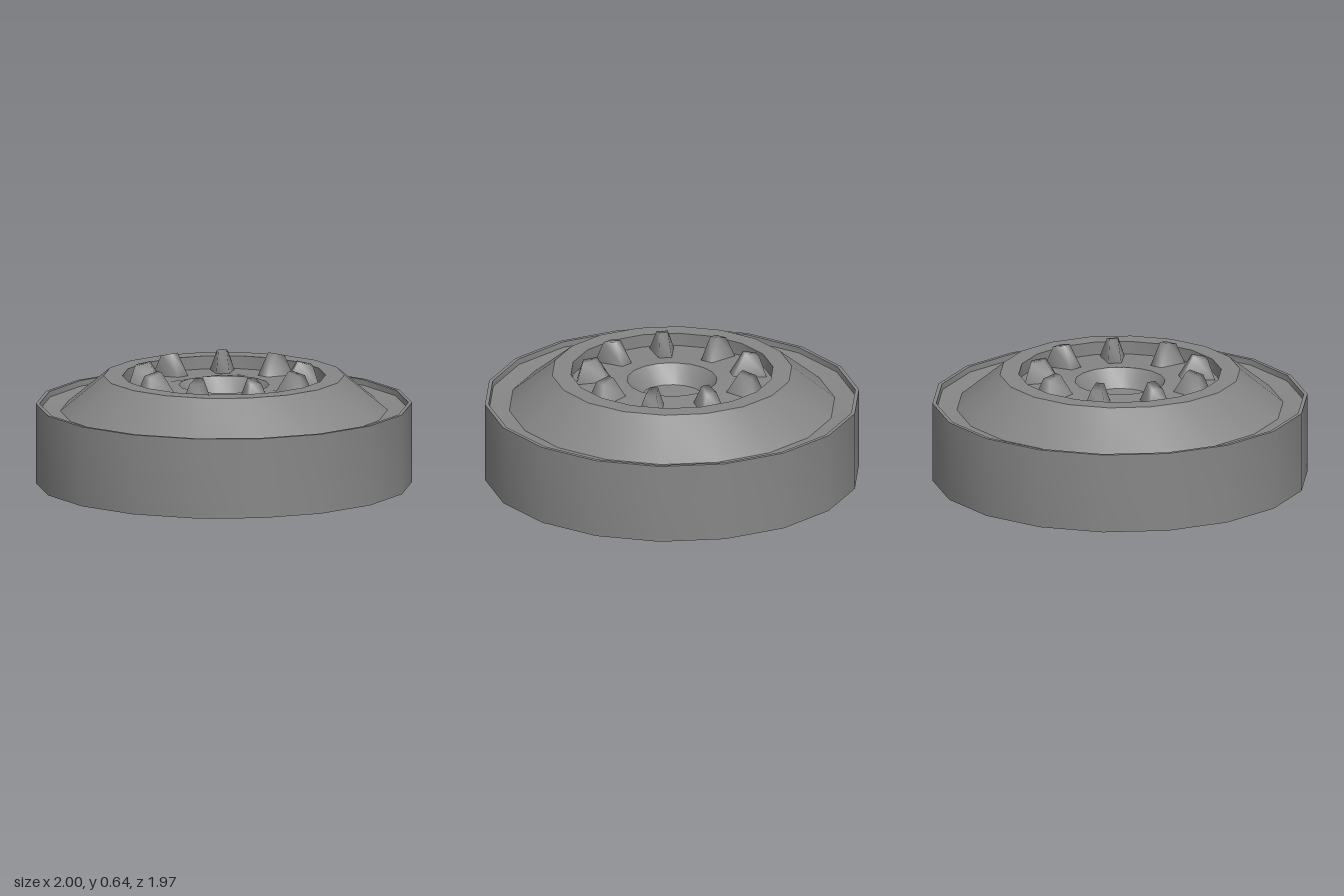
import * as THREE from 'three';
import { toCreasedNormals } from 'three/addons/utils/BufferGeometryUtils.js';

const SIDES = 18, LUGS = 9;
const grey = new THREE.MeshStandardMaterial({ color: 0x868686, side: THREE.DoubleSide });

// 18-sided turned shell from [radius, height] points, with a corner on the x axis;
// smooth around, with crisp edges between the bands
function turned(name, profile) {
  const points = profile.map(([r, y]) => new THREE.Vector2(r, y));
  const lathe = new THREE.LatheGeometry(points, SIDES, Math.PI / 2);
  const mesh = new THREE.Mesh(toCreasedNormals(lathe, 0.6), grey);
  mesh.name = name;
  return mesh;
}

function ring(r) {
  return Array.from({ length: SIDES }, (_, i) => {
    const a = (i / SIDES) * Math.PI * 2;
    return new THREE.Vector2(r * Math.cos(a), r * Math.sin(a));
  });
}

// The hub face rises slightly towards the bowl
const floorHeight = (r) => 0.51 + 0.02 * Math.min(1, Math.max(0, (0.54 - r) / 0.3));

// Lug footprint: [x, z] corners, inner edge first
const FOOT = [[-0.035, 0.33], [0.035, 0.33], [0.065, 0.505], [-0.065, 0.505]];
const CREST = [[-0.022, 0.64, 0.4], [0.022, 0.64, 0.4], [0.03, 0.62, 0.475], [-0.03, 0.62, 0.475]];

// Hollow tapered lug with softened edges, open underneath
function lugGeometry() {
  const corners = [
    ...FOOT.map(([x, z]) => [x, floorHeight(Math.hypot(x, z)), z]),
    ...CREST,
  ];
  const index = [4, 7, 6, 4, 6, 5];
  for (let i = 0; i < 4; i++) {
    const j = (i + 1) % 4;
    index.push(i, i + 4, j + 4, i, j + 4, j);
  }
  const geo = new THREE.BufferGeometry();
  geo.setAttribute('position', new THREE.Float32BufferAttribute(corners.flat(), 3));
  geo.setIndex(index);
  geo.computeVertexNormals();
  return geo;
}

// Hub face with a hole for the bowl and one under each lug
function hubFaceGeometry() {
  const shape = new THREE.Shape(ring(0.54));
  shape.holes.push(new THREE.Path(ring(0.24)));
  for (let i = 0; i < LUGS; i++) {
    const a = (i / LUGS) * Math.PI * 2;
    shape.holes.push(new THREE.Path(FOOT.map(([x, z]) =>
      new THREE.Vector2(x, -z).rotateAround(new THREE.Vector2(), a))));
  }
  const geo = new THREE.ShapeGeometry(shape);
  geo.rotateX(-Math.PI / 2);
  const p = geo.attributes.position;
  for (let i = 0; i < p.count; i++) p.setY(i, floorHeight(Math.hypot(p.getX(i), p.getZ(i))));
  geo.computeVertexNormals();
  return geo;
}

export function createModel() {
  const model = new THREE.Group();
  model.name = 'wheelCover';

  // Outer band, thin lip, groove and sloping shoulder
  model.add(turned('outerWall', [[1, 0], [1, 0.43]]));
  model.add(turned('shoulder',
    [[1, 0.43], [0.98, 0.43], [0.977, 0.4], [0.87, 0.39], [0.64, 0.58], [0.54, 0.58], [0.54, 0.51]]));

  // Recessed hub with a central bowl
  const face = new THREE.Mesh(hubFaceGeometry(), grey);
  face.name = 'hubFace';
  model.add(face);
  model.add(turned('centreBowl', [[0.24, 0.53], [0.165, 0.435], [0, 0.435]]));

  // Ring of lugs
  const lugs = new THREE.Group();
  lugs.name = 'lugs';
  const geo = lugGeometry();
  for (let i = 0; i < LUGS; i++) {
    const lug = new THREE.Mesh(geo, grey);
    lug.name = 'lug' + (i + 1);
    lug.rotation.y = (i / LUGS) * Math.PI * 2;
    lugs.add(lug);
  }
  model.add(lugs);
  return model;
}
